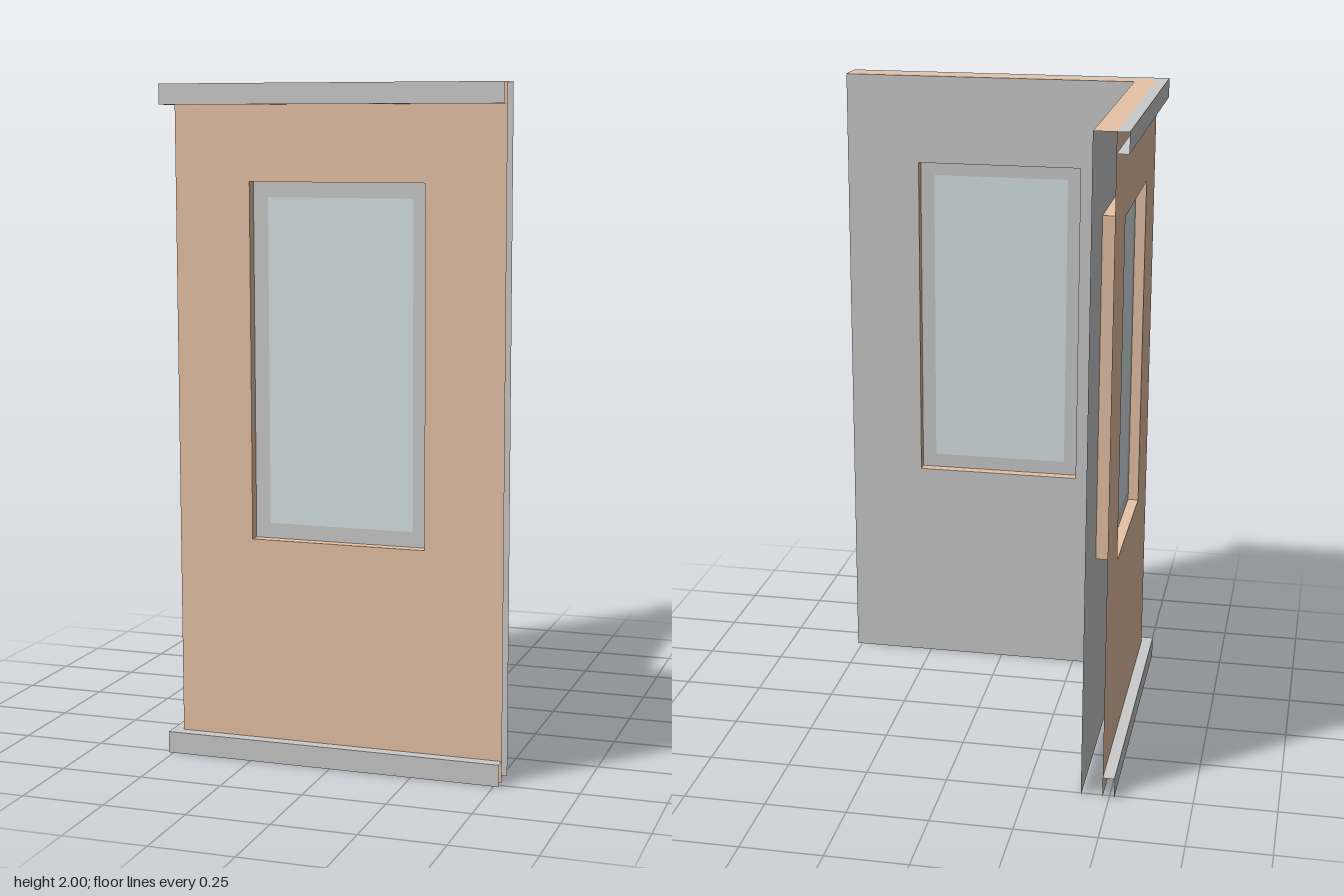
import * as THREE from 'three';

const END = 0.515, OUT = 0.48, INN = 0.415, TOP = 2;
const WIN = { x0: -0.25, x1: 0.28, y0: 0.67, y1: 1.72 };
const BORDER = 0.045, MID = (OUT + INN) / 2;

const mat = (color) => new THREE.MeshStandardMaterial({ color, side: THREE.DoubleSide });

// Flat four-cornered sheet, corners counter-clockwise from its front
function quad(...corners) {
  const g = new THREE.BufferGeometry();
  g.setAttribute('position', new THREE.Float32BufferAttribute(corners.flat(), 3));
  g.setIndex([0, 1, 2, 0, 2, 3]);
  g.computeVertexNormals();
  return g;
}

// Horizontal strip between depths z0 and z1, mitred at the corner of the two walls
function ledge(y, z0, z1, up = true) {
  const p = [[-z1, y, z1], [END, y, z1], [END, y, z0], [-z0, y, z0]];
  return quad(...(up ? p : p.reverse()));
}

// Vertical sheet with a rectangular opening
function skin(x0, x1, y0, y1, z, hole, back = false) {
  const rect = (C, a, b, c, d) => {
    const s = new C();
    s.moveTo(a, c); s.lineTo(b, c); s.lineTo(b, d); s.lineTo(a, d); s.closePath();
    return s;
  };
  const flip = back ? -1 : 1;
  const shape = rect(THREE.Shape, flip * x0, flip * x1, y0, y1);
  if (hole) shape.holes.push(rect(THREE.Path, flip * hole.x0, flip * hole.x1, hole.y0, hole.y1));
  const g = new THREE.ShapeGeometry(shape);
  if (back) g.rotateY(Math.PI);
  return g.translate(0, 0, z);
}

// Mirrors a front-wall sheet across the corner diagonal to make the side wall
function mirrored(g) {
  const m = g.clone().applyMatrix4(new THREE.Matrix4().set(
    0, 0, -1, 0,
    0, 1, 0, 0,
    -1, 0, 0, 0,
    0, 0, 0, 1));
  m.setIndex(Array.from(g.index.array).reverse());
  return m;
}

export function createModel() {
  const model = new THREE.Group();
  model.name = 'cornerWall';
  const brown = mat(0xe8c3a6), grey = mat(0xcccccc), blue = mat(0xd8e5e8);
  const { x0, x1, y0, y1 } = WIN;
  const pane = { x0: x0 + BORDER, x1: x1 - BORDER, y0: y0 + BORDER, y1: y1 - BORDER };

  const parts = [
    // hollow wall, open at its end and underneath
    ['outerSkin', skin(-OUT, END, 0, TOP, OUT, WIN), brown],
    ['innerSkin', skin(-INN, END, 0, TOP, INN, WIN, true), grey],
    ['topCap', ledge(TOP, INN, OUT), brown],
    // sides of the window opening
    ['windowSill', quad([x0, y0, OUT], [x1, y0, OUT], [x1, y0, INN], [x0, y0, INN]), brown],
    ['windowHead', quad([x0, y1, INN], [x1, y1, INN], [x1, y1, OUT], [x0, y1, OUT]), brown],
    ['windowJambA', quad([x0, y0, OUT], [x0, y0, INN], [x0, y1, INN], [x0, y1, OUT]), brown],
    ['windowJambB', quad([x1, y0, INN], [x1, y0, OUT], [x1, y1, OUT], [x1, y1, INN]), brown],
    // frame and glass set in the middle of the wall
    ['windowFrame', skin(x0, x1, y0, y1, MID, pane), grey],
    ['windowGlass', skin(pane.x0, pane.x1, pane.y0, pane.y1, MID), blue],
    // projecting hollow trims
    ['topTrimFace', skin(-END, END, 1.94, TOP, END), grey],
    ['topTrimCap', ledge(TOP, OUT, END), grey],
    ['topTrimUnderside', ledge(1.94, OUT, END, false), grey],
    ['baseTrimFace', skin(-END, END, 0, 0.065, END), grey],
    ['baseTrimLedge', ledge(0.065, OUT, END), grey],
  ];

  for (const name of ['frontWall', 'sideWall']) {
    const wall = new THREE.Group();
    wall.name = name;
    for (const [part, geometry, material] of parts) {
      const mesh = new THREE.Mesh(name === 'sideWall' ? mirrored(geometry) : geometry, material);
      mesh.name = part;
      wall.add(mesh);
    }
    model.add(wall);
  }
  return model;
}
